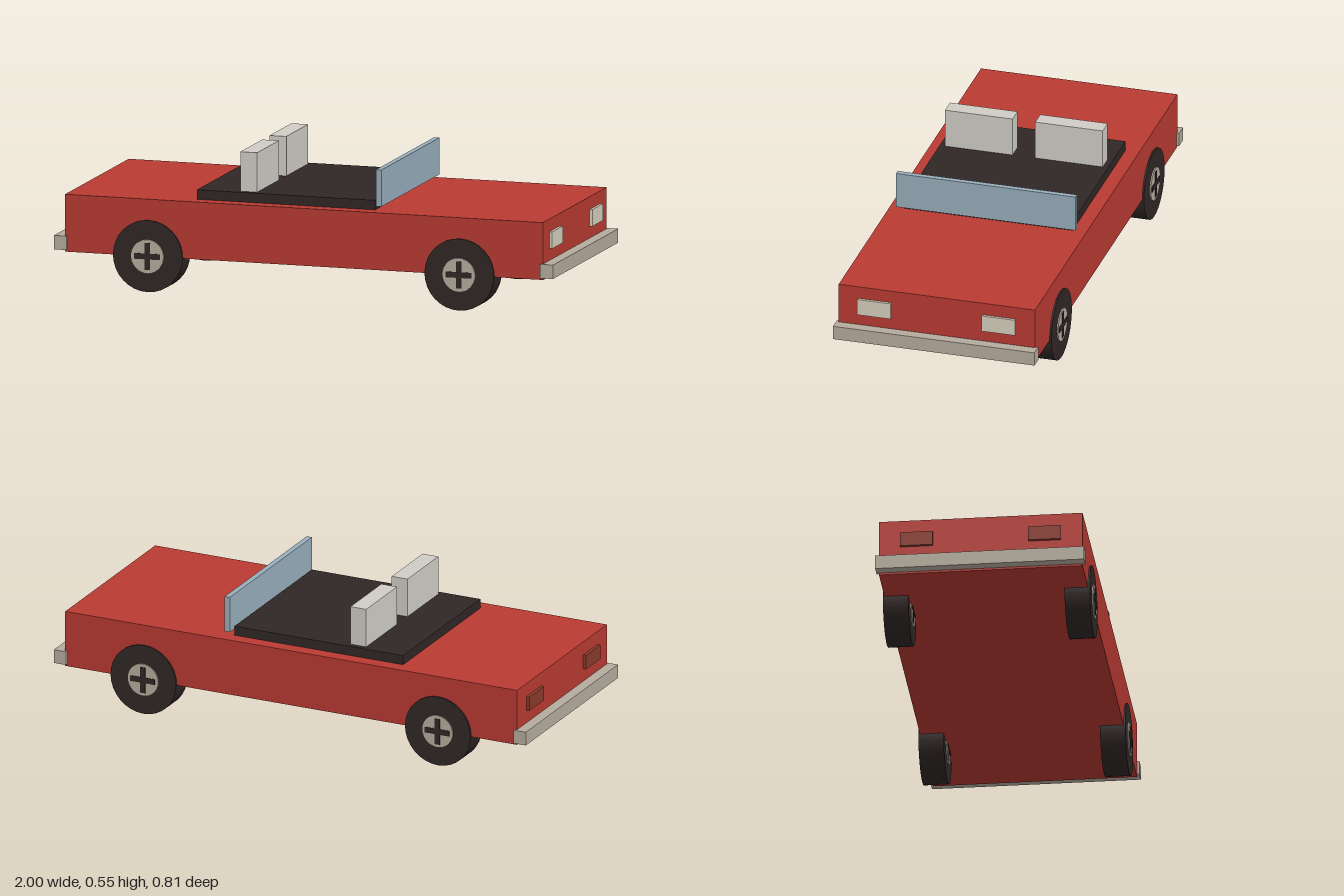
import * as THREE from 'three';

const paint = (color) => new THREE.MeshStandardMaterial({ color });

export function createModel() {
  const car = new THREE.Group();
  car.name = 'convertible';
  const red = paint(0xb93a32), dark = paint(0x302726), chrome = paint(0xb5ac9e);
  const cream = paint(0xd8d0be), seatMat = paint(0xd0cdc6), glass = paint(0x98aebc);
  const tailRed = paint(0x8a3a2c);

  // Box given by its min and max along each axis
  const box = (name, mat, [x0, x1], [y0, y1], [z0, z1], parent = car) => {
    const mesh = new THREE.Mesh(new THREE.BoxGeometry(x1 - x0, y1 - y0, z1 - z0), mat);
    mesh.position.set((x0 + x1) / 2, (y0 + y1) / 2, (z0 + z1) / 2);
    mesh.name = name;
    parent.add(mesh);
  };

  // Body, cockpit and windshield
  box('body', red, [-0.958, 0.957], [0.137, 0.359], [-0.39, 0.39]);
  box('cockpit', dark, [-0.448, 0.266], [0.33, 0.396], [-0.335, 0.335]);
  box('windshield', glass, [0.276, 0.298], [0.377, 0.519], [-0.356, 0.356]);

  // Bumpers
  box('frontBumper', chrome, [0.948, 1], [0.145, 0.199], [-0.4, 0.4]);
  box('rearBumper', chrome, [-1, -0.948], [0.145, 0.199], [-0.4, 0.4]);

  // Seats and lamps, mirrored left to right
  for (const s of [-1, 1]) {
    const across = (a, b) => (s > 0 ? [a, b] : [-b, -a]);
    box('seat', seatMat, [-0.281, -0.214], [0.37, 0.549], across(0.045, 0.313));
    box('headlight', cream, [0.945, 0.968], [0.245, 0.31], across(0.18, 0.313));
    box('taillight', tailRed, [-0.971, -0.945], [0.25, 0.306], across(0.183, 0.308));
  }

  // Wheels: tyre, hub through both faces, and crossed spokes
  const cylinder = (name, mat, r, depth, parent) => {
    const mesh = new THREE.Mesh(new THREE.CylinderGeometry(r, r, depth, 32).rotateX(Math.PI / 2), mat);
    mesh.name = name;
    parent.add(mesh);
  };
  for (const x of [-0.625, 0.623]) {
    for (const s of [-1, 1]) {
      const wheel = new THREE.Group();
      wheel.name = 'wheel';
      wheel.position.set(x, 0.139, s * 0.348);
      cylinder('tyre', dark, 0.139, 0.097, wheel);
      cylinder('hub', chrome, 0.065, 0.107, wheel);
      box('spokeAcross', dark, [-0.052, 0.052], [-0.011, 0.011], [-0.056, 0.056], wheel);
      box('spokeUpright', dark, [-0.011, 0.011], [-0.052, 0.052], [-0.0555, 0.0555], wheel);
      car.add(wheel);
    }
  }
  return car;
}
